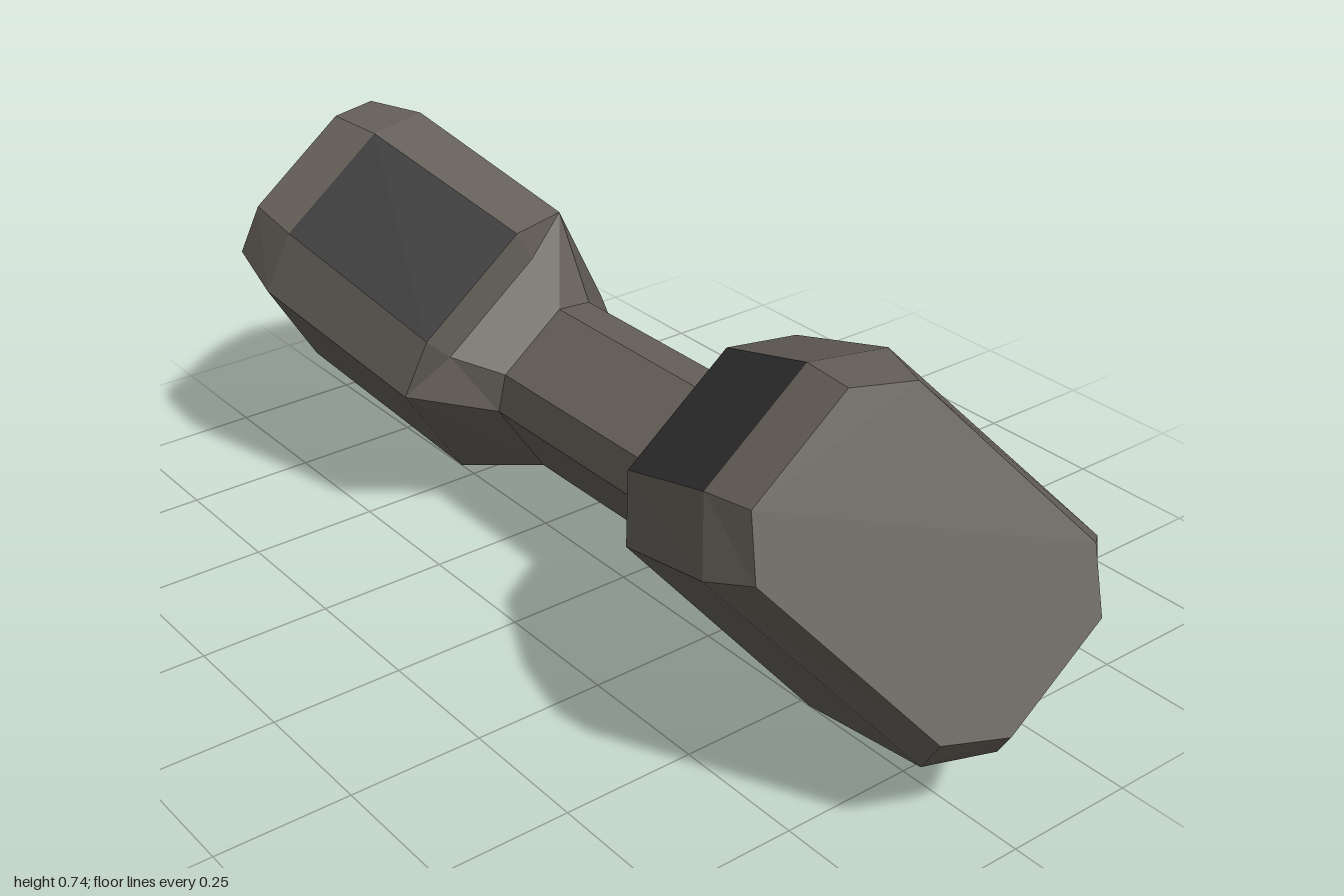
import * as THREE from 'three';

// Cross-section at each station: [x, u, halfWidth] for the
// inner edge, inner side edge, back side edge and back edge.
const GRIP = [[0.235, 0.345, 0.08], [0.25, 0.285, 0.135], [0.345, 0.012, 0.135], [0.35, -0.025, 0.08]];
const NECK = [[0.30, 0.42, 0.12], [0.335, 0.412, 0.228], [0.53, 0.012, 0.228], [0.57, -0.075, 0.131]];
const LIP = [[0.30, 0.487, 0.131], ...NECK.slice(1)];
const CUP = [[0.61, 0.655, 0.125], [0.65, 0.577, 0.228], [0.90, 0.197, 0.228], [0.94, 0.115, 0.131]];
const CAP = [[0.72, 0.672, 0.115], [0.76, 0.605, 0.195], [0.957, 0.276, 0.195], [1.0, 0.205, 0.115]];

// Eight-point loop, symmetric in width; side is +1 or -1 in x
function loop(section, side) {
  const half = section.map(([x, u, w]) => new THREE.Vector3(side * x, u, w));
  const other = half.map((p) => new THREE.Vector3(p.x, p.y, -p.z)).reverse();
  return [...half, ...other];
}

function makeMesh(name, triangles, material) {
  const geometry = new THREE.BufferGeometry().setFromPoints(triangles);
  geometry.computeVertexNormals();
  const mesh = new THREE.Mesh(geometry, material);
  mesh.name = name;
  return mesh;
}

// Faces between two loops, a at the smaller x
function bridge(a, b, wanted = () => true) {
  const out = [];
  const add = (p, q, r) => {
    if (new THREE.Triangle(p, q, r).getArea() > 1e-6) out.push(p, q, r);
  };
  for (let i = 0; i < 8; i++) {
    if (!wanted(i)) continue;
    const j = (i + 1) % 8;
    add(a[i], a[j], b[j]);
    add(a[i], b[j], b[i]);
  }
  return out;
}

export function createModel() {
  const shell = new THREE.MeshStandardMaterial({ color: 0x645f58 });
  shell.name = 'warm grey shell';
  const dark = new THREE.MeshStandardMaterial({ color: 0x333333 });
  dark.name = 'dark panel';

  const group = new THREE.Group();
  group.name = 'handset';
  const body = new THREE.Group();
  body.name = 'tiltedBody';
  group.add(body);

  // Straight grip
  body.add(makeMesh('grip', bridge(loop(GRIP, -1), loop(GRIP, 1)), shell));

  // Neck, cup and slanted cap at each end
  for (const side of [1, -1]) {
    const prefix = side > 0 ? 'left' : 'right';
    const join = (s, t, wanted) => {
      const a = loop(s, side), b = loop(t, side);
      return side > 0 ? bridge(a, b, wanted) : bridge(b, a, wanted);
    };
    const end = loop(CAP, side);
    const cap = [];
    for (let i = 1; i < 7; i++) {
      cap.push(end[0], ...(side > 0 ? [end[i], end[i + 1]] : [end[i + 1], end[i]]));
    }
    body.add(makeMesh(prefix + 'Neck', [...join(GRIP, NECK), ...join(NECK, LIP)], shell));
    body.add(makeMesh(prefix + 'Cup', [...join(LIP, CUP, (i) => i !== 7), ...join(CUP, CAP)], shell));
    body.add(makeMesh(prefix + 'Cap', cap, shell));
    // Dark inner face of the cup
    body.add(makeMesh(prefix + 'Panel', join(LIP, CUP, (i) => i === 7), dark));
  }

  // Lean the handset so it rests on its lower front edge
  body.rotation.x = 0.661;
  body.position.set(0, 0.139, -0.179);
  return group;
}
